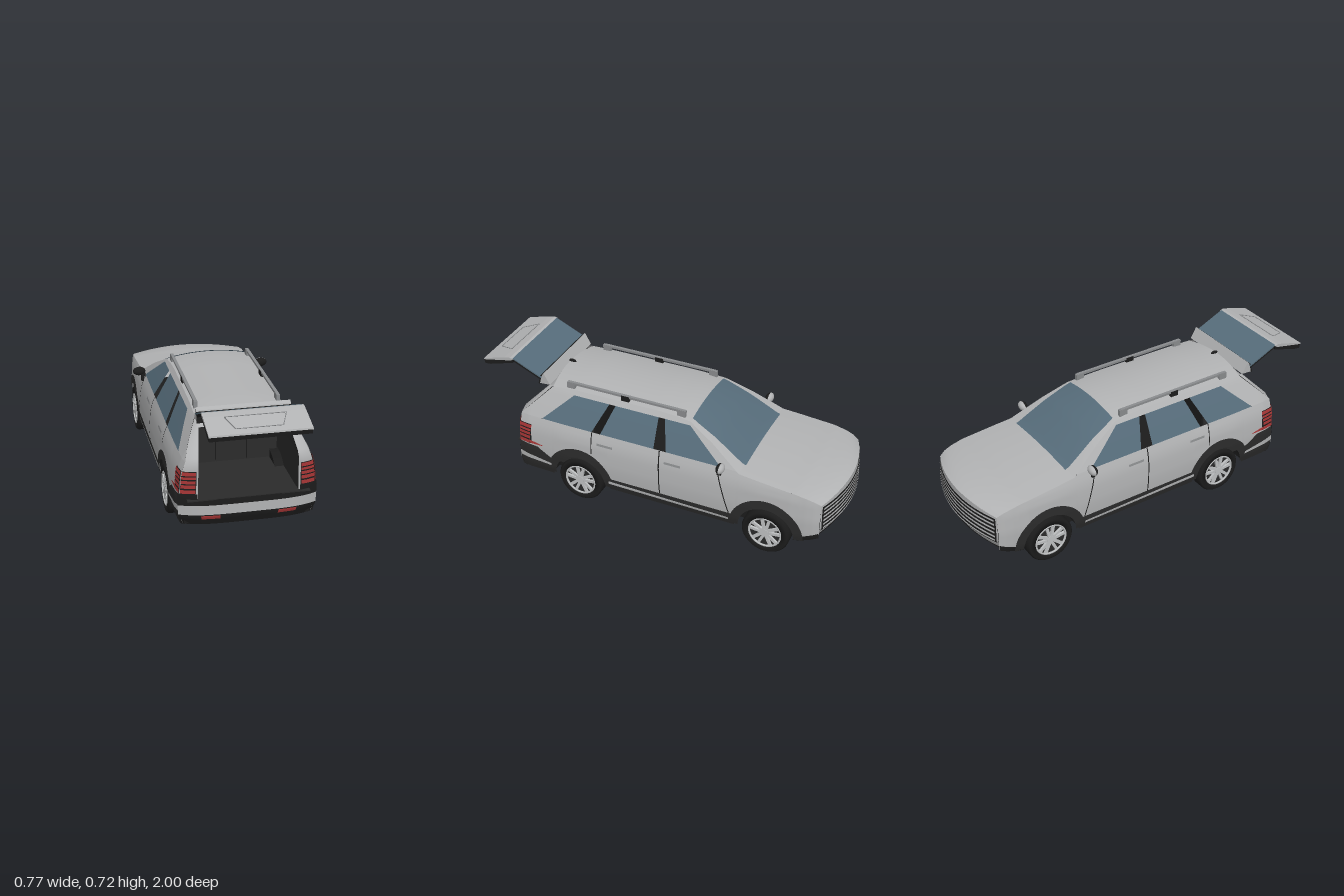
import * as THREE from 'three';
import { ParametricGeometry } from 'three/addons/geometries/ParametricGeometry.js';

const lerp = THREE.MathUtils.lerp, clamp01 = (t) => Math.min(1, Math.max(0, t));
const paint = (name, color) => {
  const m = new THREE.MeshStandardMaterial({ color, side: THREE.DoubleSide });
  m.name = name;
  return m;
};
// piecewise linear lookup
const tab = (p) => (t) => {
  if (t <= p[0][0]) return p[0][1];
  for (let i = 1; i < p.length; i++)
    if (t <= p[i][0]) return lerp(p[i - 1][1], p[i][1], (t - p[i - 1][0]) / (p[i][0] - p[i - 1][0]));
  return p[p.length - 1][1];
};

// Body rules: half width by height, plan taper by z, upper edge, window top, rear face
const section = tab([[.1, .325], [.16, .34], [.26, .345], [.36, .338], [.4, .329], [.44, .314], [.52, .272], [.585, .236], [.62, .212]]);
const plan = tab([[-.93, .9], [-.9, .94], [-.86, .965], [-.78, .99], [-.6, 1], [.5, 1], [.7, .985], [.75, .96]]);
const sideX = (y, z) => section(y) * plan(z);
const edge = tab([[-.93, .36], [-.9, .378], [-.86, .39], [-.8, .402], [-.5, .43], [-.34, .53], [-.2, .6], [-.12, .608], [0, .612], [.45, .608], [.59, .6], [.75, .44]]);
const windowTop = tab([[-.4, .44], [-.2, .585], [.46, .585], [.62, .44]]);
const bottom = tab([[-.93, .16], [-.82, .12]]);
const rearZ = tab([[.25, .77], [.44, .77], [.605, .61]]);
const openingX = tab([[.25, .245], [.44, .243], [.57, .217], [.6, .212]]);
const frontIn = tab([[.12, .06], [.17, .015], [.22, -.004], [.32, 0]]);
const AXLES = [.39, -.66], HUB = .128;

export function createModel() {
  const car = new THREE.Group();
  car.name = 'estateCar';
  const silver = paint('silver paint', 0xb2b3b4), black = paint('black trim', 0x1c1c1c);
  const dark = paint('dark cladding', 0x2b2b2b), glass = paint('tinted glass', 0x566c7a);
  const red = paint('red lamp', 0xa83636), alloy = paint('alloy', 0xbfc1c2), grey = paint('grey trim', 0x8a8c8e);

  const add = (name, geo, mat, x = 0, y = 0, z = 0, parent = car) => {
    const m = new THREE.Mesh(geo, mat);
    m.name = name;
    m.position.set(x, y, z);
    parent.add(m);
    return m;
  };
  const box = (name, mat, w, h, d, x, y, z) => add(name, new THREE.BoxGeometry(w, h, d), mat, x, y, z);
  const patch = (name, mat, f, nu = 16, nv = 8) => {
    const g = new ParametricGeometry((u, v, t) => t.set(...f(u, v)), nu, nv);
    g.computeVertexNormals();
    return add(name, g, mat);
  };
  // panels lying on both body sides, given as (z, y)
  const side = (name, mat, f, nu = 8, nv = 8, off = 0) => {
    for (const s of [1, -1]) patch(name, mat, (u, v) => {
      const [z, y] = f(u, v);
      return [s * (sideX(y, z) + off), y, z];
    }, nu, nv);
  };
  const skin = (name, mat, z0, z1, lo, hi, off = 0, nu = 60) => side(name, mat, (u, v) => {
    const z = lerp(z0, z1, u);
    return [z, lerp(lo(z), hi(z), v)];
  }, nu, 10, off);
  const quad = (name, mat, [a, b, c, d], off = 0) => side(name, mat, (u, v) =>
    [0, 1].map((k) => lerp(lerp(a[k], b[k], u), lerp(d[k], c[k], u), v)), 8, 8, off);

  // Painted sides with wheel openings, and the frame around the windows
  const sill = (z) => AXLES.reduce((y, a) =>
    Math.abs(z - a) < .17 ? Math.max(y, HUB + Math.sqrt(.0289 - (z - a) ** 2)) : y, bottom(z));
  skin('bodySide', silver, -.93, .75, sill, (z) => Math.min(edge(z), .44), 0, 168);
  skin('windowFrame', silver, -.485, .75, windowTop, edge, 0, 100);
  skin('doorLining', dark, -.48, .74, () => .2, () => .43, -.014, 30);

  // Side windows with open pillars between them
  quad('frontSideWindow', glass, [[-.1, .44], [-.4, .44], [-.2, .585], [-.06, .585]]);
  quad('rearSideWindow', glass, [[.275, .44], [-.03, .44], [-.025, .585], [.22, .585]]);
  quad('quarterWindow', glass, [[.62, .44], [.325, .44], [.255, .585], [.46, .585]]);

  // Bonnet, windscreen surround and roof share one lofted surface
  const crown = tab([[-.5, .018], [-.2, .026], [.59, .026]]);
  const top = (name, mat, z0, z1, reach, off, nv) => patch(name, mat, (u, v) => {
    const zl = lerp(z0, z1, v), k = (u * 2 - 1) * reach(zl), c = 1 - k * k;
    const bulge = -.065 * clamp01((-.75 - zl) / .18) + .02 * clamp01((zl - .45) / .14);
    return [k * sideX(edge(zl), zl), edge(zl) + crown(zl) * c + off, zl + bulge * c];
  }, 24, nv);
  const full = () => 1;
  top('bonnet', silver, -.93, -.5, full, 0, 30);
  top('windscreenFrame', silver, -.5, -.2, full, 0, 16);
  top('roof', silver, -.2, .59, full, 0, 24);
  top('headliner', black, -.2, .585, () => .96, -.012, 12);
  top('windscreen', glass, -.51, -.2, tab([[-.5, .78], [-.2, .9]]), .004, 16);

  // Nose, grille bars and lower lip
  const nose = (name, mat, lo, hi, w, off) => patch(name, mat, (u, v) => {
    const k = (u * 2 - 1) * w, c = 1 - k * k, y = lerp(lo, hi + (hi > .355 ? .02 * c : 0), v);
    return [k * sideX(y, -.93), y, -.93 - .065 * c + frontIn(y) - off];
  }, 28, 8);
  nose('nose', silver, .16, .36, 1, 0);
  nose('grille', black, .205, .352, .98, .003);
  for (let i = 0; i < 6; i++) nose('grilleBar', silver, .218 + i * .023, .229 + i * .023, .96, .006);
  nose('frontLip', black, .135, .172, 1, .003);
  patch('frontUndertray', black, (u, v) => {
    const k = u * 2 - 1;
    return [k * lerp(.3, .32, v), lerp(.14, .112, v), lerp(-.9 - .055 * (1 - k * k), -.8, v)];
  }, 20, 4);

  // Floor and underbody
  box('underbody', black, .51, .11, 1.62, 0, .165, -.07);
  box('cabinFloor', black, .64, .1, .7, 0, .165, -.135);
  box('rearUnderbody', black, .62, .1, .18, 0, .165, .66);

  // Sills, seams, handles
  skin('sillCladding', dark, -.49, .22, () => .115, () => .19, .003, 20);
  quad('sillStrip', silver, [[.22, .157], [-.46, .147], [-.46, .162], [.22, .175]], .006);
  skin('frontCorner', black, -.93, -.825, bottom, (z) => bottom(z) + .03, .003, 10);
  quad('frontDoorSeam', black, [[-.378, .44], [-.384, .44], [-.464, .19], [-.458, .19]], .002);
  quad('middleDoorSeam', black, [[-.062, .44], [-.068, .44], [-.08, .19], [-.074, .19]], .002);
  quad('rearDoorSeam', black, [[.325, .44], [.32, .44], [.315, .32], [.32, .32]], .002);
  for (const z of [-.145, .24]) quad('doorHandle', grey, [[z + .045, .383], [z - .045, .383], [z - .045, .395], [z + .045, .395]], .008);

  // Wheel arches and wells, wheels
  for (const a of AXLES) {
    side('archCladding', dark, (u, v) => {
      const r = lerp(.148, .197, v), t = u * Math.PI;
      return [a + r * Math.cos(t), HUB + r * Math.sin(t)];
    }, 28, 3, .005);
    for (const s of [1, -1]) {
      const well = add('wheelWell', new THREE.CylinderGeometry(.166, .166, .135, 28, 1, true, 0, Math.PI), black, s * .265, HUB, a);
      well.rotation.z = Math.PI / 2;
      const wall = add('wellWall', new THREE.CircleGeometry(.166, 28, 0, Math.PI), black, s * .2, HUB, a);
      wall.rotation.y = Math.PI / 2;
      addWheel(s, a);
    }
  }
  function addWheel(s, z) {
    const w = new THREE.Group();
    w.name = 'wheel';
    w.position.set(s * .304, HUB, z);
    w.rotation.y = s > 0 ? 0 : Math.PI;
    car.add(w);
    const ring = [[.088, -.04], [.118, -.04], [.127, -.03], [.127, .03], [.118, .04], [.088, .04], [.088, -.04]];
    add('tyre', new THREE.LatheGeometry(ring.map((p) => new THREE.Vector2(...p)), 40), black, 0, 0, 0, w).rotation.z = -Math.PI / 2;
    add('wheelBack', new THREE.CylinderGeometry(.089, .089, .05, 32), dark, 0, 0, 0, w).rotation.z = Math.PI / 2;
    add('rim', new THREE.TorusGeometry(.085, .006, 6, 36), alloy, .037, 0, 0, w).rotation.y = Math.PI / 2;
    add('hub', new THREE.CylinderGeometry(.02, .02, .016, 20), alloy, .033, 0, 0, w).rotation.z = Math.PI / 2;
    for (let i = 0; i < 5; i++) for (const d of [-1, 1]) {
      const g = new THREE.BoxGeometry(.012, .072, .015);
      g.rotateX(d * .2).translate(0, .05, d * .013).rotateX(i * Math.PI * .4);
      add('spoke', g, alloy, .033, 0, 0, w);
    }
  }

  // Rear frame, lamps and bumper
  const rear = (name, mat, lo, hi, t0, t1, off) => {
    for (const s of [1, -1]) patch(name, mat, (u, v) => {
      const y = lerp(lo, hi, v), t = lerp(t0, t1, u), z = rearZ(y);
      return [s * lerp(openingX(y), sideX(y, z - .02), t), y, z - .02 * t * t + off];
    }, 8, 12);
  };
  rear('rearPillar', silver, .25, .6, 0, 1, 0);
  rear('lampHousing', black, .28, .396, .12, 1, .003);
  skin('lampHousing', black, .68, .75, () => .28, () => .396, .003, 6);
  [[.283, .302], [.31, .328], [.334, .35], [.356, .369], [.375, .394]].forEach(([lo, hi], i) => {
    rear('tailLamp', red, lo, hi, .16, 1, .006);
    skin('tailLamp', red, .69 - i * .003, .752, () => lo, () => hi, .006, 6);
  });
  quad('lampTip', red, [[.69, .283], [.61, .284], [.61, .288], [.69, .302]], .005);
  patch('rearHeader', silver, (u, v) => {
    const k = u * 2 - 1, c = 1 - k * k;
    return [k * .222, lerp(.565, .6 + .026 * c, v), lerp(.645, .59 + .02 * c, v)];
  }, 20, 4);

  const bumper = (name, mat, lo, hi, k0, k1, off = 0) => patch(name, mat, (u, v) => {
    const y = lerp(lo, hi, v), k = lerp(k0, k1, u);
    return [k * (sideX(y, .75) + .012), y, .79 - .04 * k ** 4 + off - clamp01((.16 - y) / .05) * .02];
  }, 24, 4);
  bumper('bumperTop', black, .218, .25, -1, 1);
  bumper('bumperBand', silver, .17, .22, -1, 1, .002);
  bumper('bumperLower', black, .11, .172, -1, 1);
  for (const s of [1, -1]) {
    bumper('bumperCorner', black, .248, .282, s * .73, s);
    bumper('reflector', red, .146, .166, s * .42, s * .69, .004);
  }
  box('loadLedge', dark, .6, .006, .05, 0, .25, .763);
  skin('rearCornerCladding', dark, .55, .752, () => .118, tab([[.55, .22], [.64, .275], [.75, .282]]), .008, 16);
  quad('rearCornerStrip', silver, [[.752, .19], [.56, .178], [.56, .192], [.752, .222]], .012);

  // Load space with seat backs
  box('loadFloor', dark, .5, .01, .4, 0, .245, .56);
  for (const s of [1, -1]) patch('loadWall', dark, (u, v) => {
    const y = lerp(.25, .585, v);
    return [s * openingX(y), y, lerp(.36, rearZ(y) - .004, u)];
  }, 4, 8);
  box('seatBulkhead', black, .48, .2, .01, 0, .35, .345);
  box('seatBulkheadTop', black, .43, .13, .01, 0, .505, .345);
  for (const x of [-1, 0, 1]) {
    box('seatBack', dark, .155, .24, .03, x * .16, .37, .37);
    box('headrest', dark, .088, .06, .03, x * .17, .527, .37);
  }

  // Raised tailgate: side profiles (z, y) extruded across
  const slab = (name, mat, pts, w) => {
    const g = new THREE.ExtrudeGeometry(new THREE.Shape(pts.map(([z, y]) => new THREE.Vector2(-z, y))), { depth: w, bevelEnabled: false });
    g.rotateY(Math.PI / 2).translate(-w / 2, 0, 0);
    return add(name, g, mat);
  };
  slab('tailgateSpoiler', silver, [[.608, .607], [.642, .668], [.652, .655], [.668, .603]], .46);
  slab('spoilerTrim', black, [[.655, .65], [.663, .65], [.676, .6], [.668, .598]], .46);
  slab('tailgateGlass', glass, [[.655, .645], [.82, .719], [.82, .712], [.658, .638]], .47);
  slab('tailgateGlassFrame', black, [[.658, .638], [.82, .712], [.82, .696], [.662, .625]], .46);
  slab('tailgatePanel', silver, [[.815, .716], [.835, .721], [.87, .714], [.998, .678], [1, .67], [.83, .705]], .48);
  slab('tailgateInner', black, [[.815, .714], [.83, .705], [.998, .669], [.994, .647], [.96, .65], [.82, .692]], .475);
  // plate recess outline on the panel, following its slope
  const slope = (z) => .714 - (z - .87) * .281 + .002;
  const rail = (name, a, b) => add(name, new THREE.TubeGeometry(new THREE.LineCurve3(...[a, b].map(([x, z]) => new THREE.Vector3(x, slope(z), z))), 1, .002, 5), grey);
  const recess = [[-.145, .88], [.145, .88], [.11, .965], [-.11, .965]];
  recess.forEach((p, i) => rail('plateRecessEdge', p, recess[(i + 1) % 4]));

  // Roof rails, aerial, mirrors
  for (const s of [1, -1]) {
    box('roofRail', grey, .016, .012, .66, s * .205, .638, .175);
    for (const z of [-.14, .175, .49]) box('railFoot', z === .175 ? black : grey, .018, .036, .045, s * .205, .624, z);
    box('mirrorArm', black, .04, .014, .022, s * .315, .436, -.405);
    box('mirrorPost', black, .012, .04, .02, s * .332, .425, -.4);
    for (const [name, mat, turn] of [['mirrorShell', silver, Math.PI], ['mirrorBack', black, 0]]) {
      const g = new THREE.SphereGeometry(1, 20, 12, 0, Math.PI).rotateY(turn);
      add(name, g, mat, s * .348, .458, -.412).scale.set(.035, .025, .022);
    }
  }
  add('aerial', new THREE.SphereGeometry(1, 12, 8), black, 0, .63, .595).scale.set(.007, .012, .022);
  return car;
}
